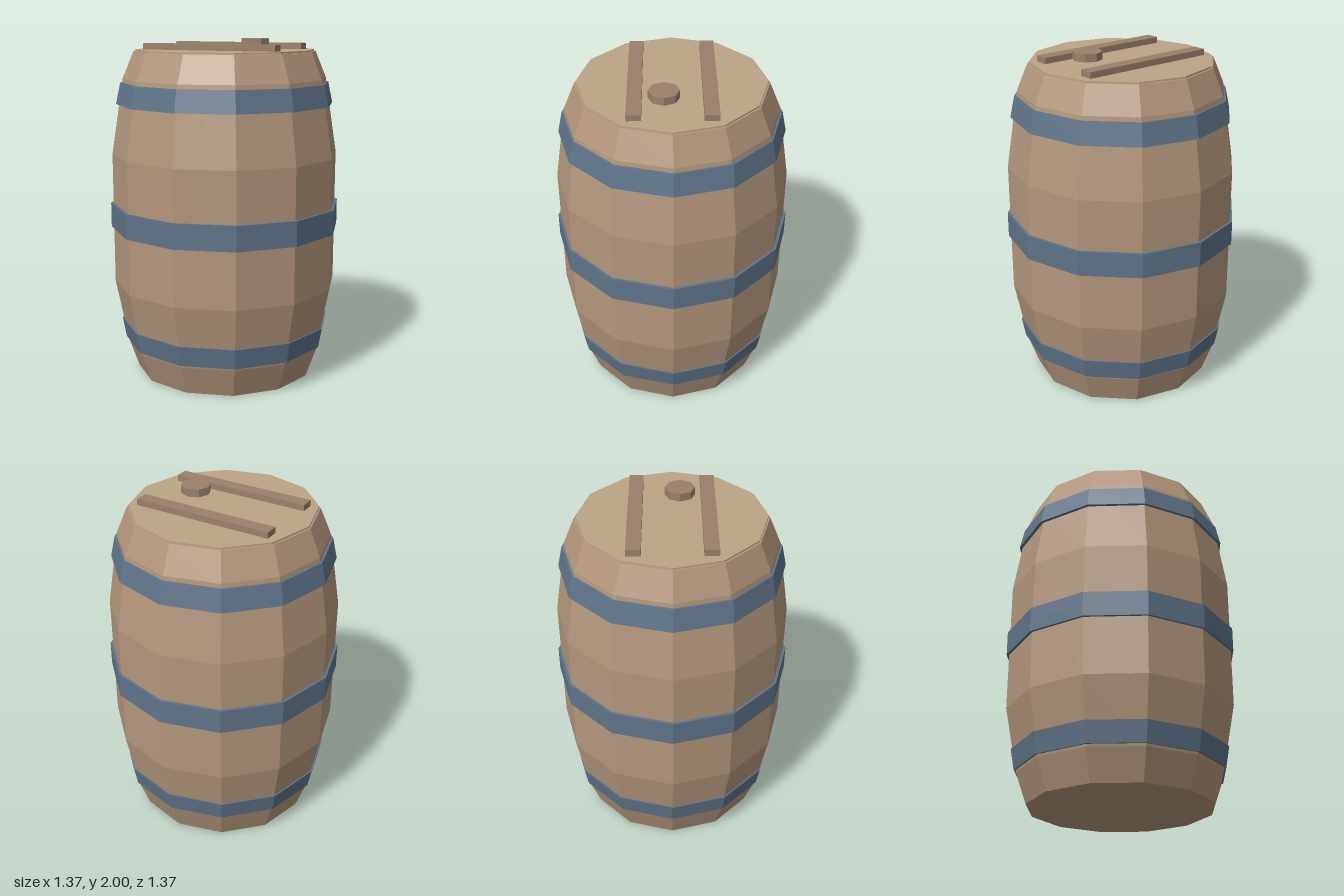
import * as THREE from 'three';

const SIDES = 12;

function material(color) {
  return new THREE.MeshStandardMaterial({ color, flatShading: true });
}

// Faceted solid of revolution from [radius, height] pairs
function turned(name, profile, mat) {
  const points = profile.map(([r, y]) => new THREE.Vector2(r, y));
  const mesh = new THREE.Mesh(new THREE.LatheGeometry(points, SIDES), mat);
  mesh.name = name;
  return mesh;
}

// Closed band hugging the staves, with a slanted outer face
function hoop(name, y0, y1, r0, r1, mat) {
  const t = 0.03;
  return turned(name, [[r0 - t, y0], [r0, y0], [r1, y1], [r1 - t, y1], [r0 - t, y0]], mat);
}

export function createModel() {
  const group = new THREE.Group();
  group.name = 'barrel';

  const wood = material(0xb3967c);
  const lidWood = material(0xbca586);
  const darkWood = material(0x9b806c);
  const iron = material(0x5f7489);

  // Bulging body with a closed bottom and a narrow rim at the top
  group.add(turned('body', [
    [0, 0], [0.535, 0], [0.597, 0.175], [0.67, 0.55],
    [0.67, 1.325], [0.6, 1.77], [0.535, 1.925], [0.5, 1.928],
  ], wood));

  // Lid
  group.add(turned('lid', [[0.525, 1.915], [0.525, 1.935], [0, 1.935]], lidWood));

  // Metal hoops
  group.add(
    hoop('lowerHoop', 0.19, 0.31, 0.61, 0.632, iron),
    hoop('middleHoop', 0.885, 1.03, 0.685, 0.685, iron),
    hoop('upperHoop', 1.62, 1.745, 0.642, 0.615, iron),
  );

  // Two battens across the lid
  for (const side of [-1, 1]) {
    const batten = new THREE.Mesh(new THREE.BoxGeometry(0.824, 0.036, 0.08), darkWood);
    batten.position.set(0, 1.952, side * 0.202);
    batten.name = side > 0 ? 'frontBatten' : 'backBatten';
    group.add(batten);
  }

  // Bung, sitting just above the lid
  const bung = new THREE.Mesh(new THREE.CylinderGeometry(0.085, 0.085, 0.045, 8), darkWood);
  bung.position.set(0.21, 1.9775, 0.045);
  bung.name = 'bung';
  group.add(bung);

  return group;
}
